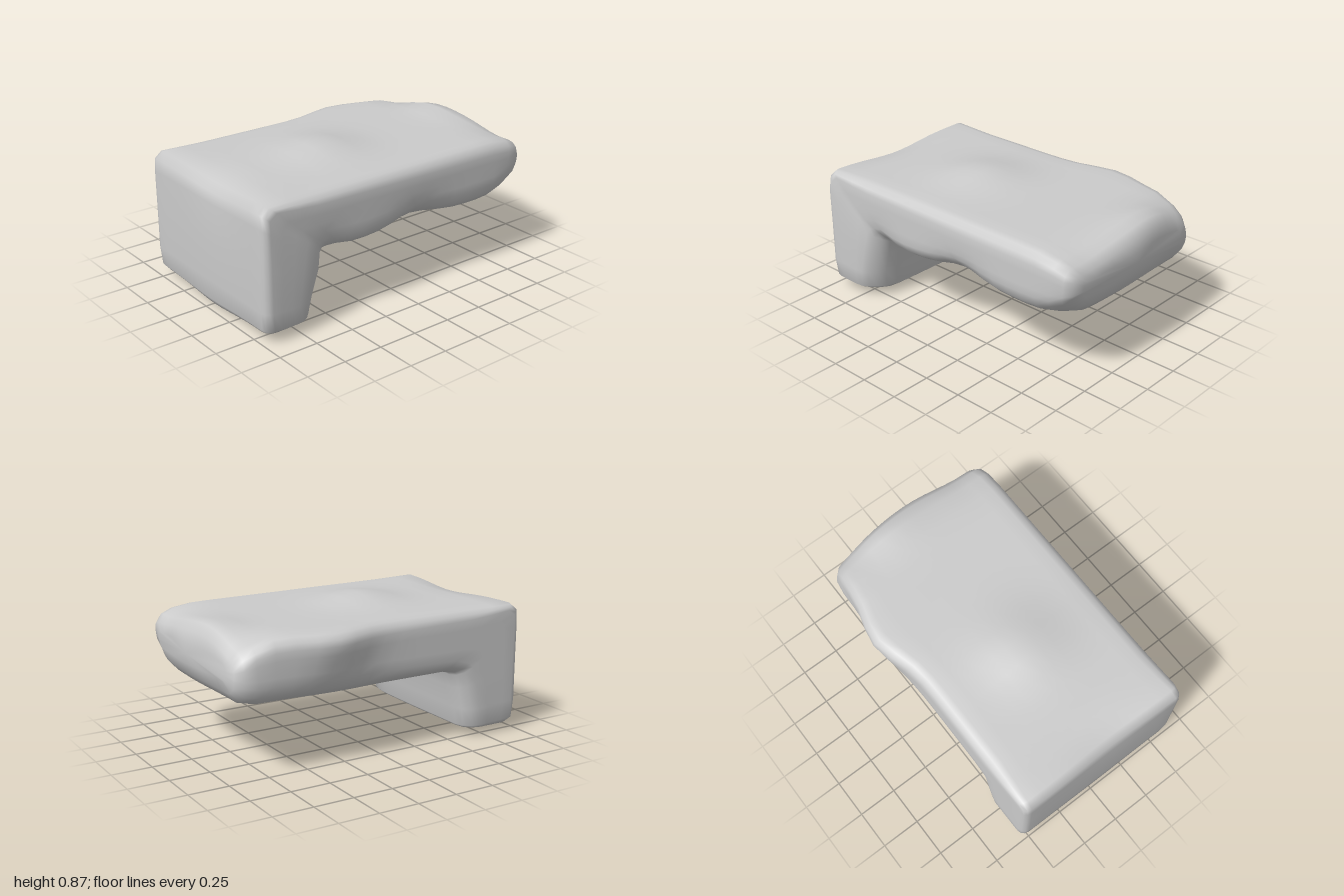
import * as THREE from 'three';

// Stations along the bent slab:
// [outer x, outer y, inner x, inner y, front z, back z]
const LEG = [
  [-0.92, 0.04, -0.7, 0.045, 0.5, -0.46],
  [-0.96, 0.05, -0.63, 0.05, 0.58, -0.52],
  [-0.99, 0.085, -0.605, 0.07, 0.62, -0.545],
  [-1.0, 0.2, -0.595, 0.18, 0.63, -0.55],
  [-1.0, 0.46, -0.565, 0.32, 0.63, -0.55],
  [-1.0, 0.7, -0.55, 0.4, 0.63, -0.55],
  [-0.995, 0.78, -0.53, 0.42, 0.62, -0.55],
  [-0.95, 0.82, -0.5, 0.425, 0.62, -0.55],
];
const FREE_END = [
  [0.92, 0.81, 0.91, 0.455, 0.61, -0.54],
  [0.96, 0.77, 0.955, 0.51, 0.58, -0.5],
  [0.97, 0.7, 0.97, 0.58, 0.5, -0.42],
];
// Evenly spaced stations between leg and free end
const SPAN = Array.from({ length: 14 }, (_, i) => {
  const f = i / 13;
  return [-0.8 + 1.65 * f, 0.82, -0.45 + 1.27 * f, 0.435, 0.62, -0.55];
});
const STATIONS = [...LEG, ...SPAN, ...FREE_END];

// Swellings and chips: [centre x, y, z, reach x, y, z, push x, y, z]
const BUMPS = [
  // crown of the top
  [-0.2, 0.82, 0.05, 0.23, 0.2, 0.25, 0, 0.06, 0],
  [0.87, 0.82, -0.1, 0.12, 0.15, 0.22, 0, 0.03, 0],
  // belly under the slab
  [-0.18, 0.44, -0.02, 0.22, 0.12, 0.24, 0, -0.06, 0],
  [0.25, 0.44, -0.1, 0.26, 0.12, 0.24, 0, -0.075, 0],
  // back
  [0.36, 0.8, -0.56, 0.22, 0.26, 0.2, 0, 0, -0.085],
  // foot
  [-0.87, 0.03, 0.03, 0.15, 0.1, 0.25, 0, -0.04, 0],
  [-0.6, 0.08, 0.62, 0.12, 0.2, 0.12, -0.05, 0.01, -0.02],
  // free end and its chipped corners
  [0.97, 0.65, 0.08, 0.1, 0.25, 0.25, 0.03, 0, 0],
  [0.97, 0.82, -0.52, 0.16, 0.16, 0.2, -0.02, -0.08, 0.03],
  [0.97, 0.82, 0.48, 0.14, 0.14, 0.22, 0, -0.05, 0],
  [0.95, 0.45, 0.6, 0.16, 0.12, 0.12, -0.03, 0.05, -0.03],
  // chips along the long edges
  [-1.0, 0.82, 0.1, 0.1, 0.12, 0.28, 0.02, -0.035, 0],
  [0.12, 0.44, 0.6, 0.2, 0.14, 0.13, 0, 0.05, -0.03],
  [-0.55, 0.44, 0.62, 0.12, 0.13, 0.12, -0.02, 0.04, -0.02],
];

function swell(p) {
  const q = p.clone();
  for (const [cx, cy, cz, rx, ry, rz, dx, dy, dz] of BUMPS) {
    const d = ((p.x - cx) / rx) ** 2 + ((p.y - cy) / ry) ** 2 + ((p.z - cz) / rz) ** 2;
    q.addScaledVector(new THREE.Vector3(dx, dy, dz), Math.exp(-d));
  }
  return q;
}

// Rounded rectangle across one station, as [distance from outer edge, z]
function section(t, zf, zb, radius) {
  const ro = Math.min(radius, t * 0.3), ri = Math.min(0.11, t * 0.35);
  const pts = [];
  const line = (a0, z0, a1, z1, n) => {
    for (let i = 1; i < n; i++) pts.push([a0 + (a1 - a0) * i / n, z0 + (z1 - z0) * i / n]);
  };
  const arc = (a, z, r, start) => {
    for (let i = 0; i <= 3; i++) {
      const w = start + i * Math.PI / 6;
      pts.push([a - r * Math.cos(w), z + r * Math.sin(w)]);
    }
  };
  arc(ro, zb + ro, ro, -Math.PI / 2);
  line(0, zb + ro, 0, zf - ro, 12);
  arc(ro, zf - ro, ro, 0);
  line(ro, zf, t - ri, zf, 4);
  arc(t - ri, zf - ri, ri, Math.PI / 2);
  line(t, zf - ri, t, zb + ri, 12);
  arc(t - ri, zb + ri, ri, Math.PI);
  line(t - ri, zb, ro, zb, 4);
  return pts;
}

export function createModel() {
  const group = new THREE.Group();
  group.name = 'bentRock';
  const positions = [], indices = [];
  let n = 0;
  const add = (v) => positions.push(...swell(v).toArray());

  // Skin rings, with softer outer edges away from the leg
  for (const [ox, oy, ix, iy, zf, zb] of STATIONS) {
    const t = Math.hypot(ix - ox, iy - oy);
    const ring = section(t, zf, zb, Math.min(0.08, 0.05 + (ox + 1) * 0.1));
    n = ring.length;
    for (const [a, z] of ring) {
      add(new THREE.Vector3(ox + (ix - ox) * a / t, oy + (iy - oy) * a / t, z));
    }
  }
  const last = STATIONS.length - 1;
  for (let i = 0; i < last; i++) {
    for (let j = 0; j < n; j++) {
      const k = (j + 1) % n;
      const a = i * n + j, b = i * n + k;
      indices.push(a, b, a + n, b, b + n, a + n);
    }
  }

  // Foot and free-end caps
  for (const s of [0, last]) {
    const [ox, oy, ix, iy, zf, zb] = STATIONS[s];
    const c = positions.length / 3;
    add(new THREE.Vector3((ox + ix) / 2, (oy + iy) / 2, (zf + zb) / 2));
    for (let j = 0; j < n; j++) {
      const a = s * n + j, b = s * n + (j + 1) % n;
      if (s) indices.push(c, a, b);
      else indices.push(c, b, a);
    }
  }

  const geometry = new THREE.BufferGeometry();
  geometry.setAttribute('position', new THREE.Float32BufferAttribute(positions, 3));
  geometry.setIndex(indices);
  geometry.computeVertexNormals();
  const rock = new THREE.Mesh(geometry, new THREE.MeshStandardMaterial({ color: 0xcccccc }));
  rock.name = 'rockSlab';
  group.add(rock);
  return group;
}
